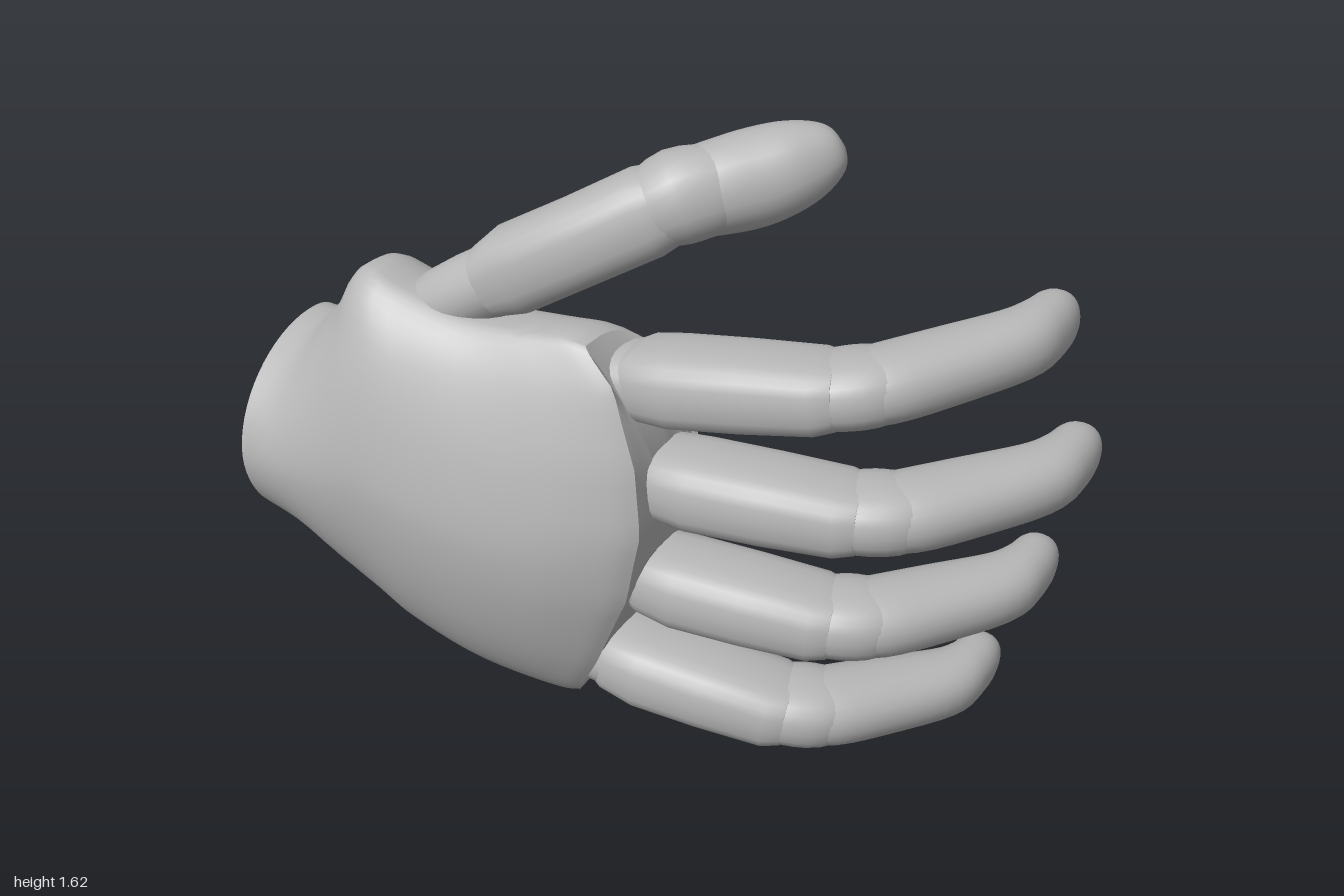
import * as THREE from 'three';
import { toCreasedNormals } from 'three/addons/utils/BufferGeometryUtils.js';

const grey = new THREE.MeshStandardMaterial({ color: 0xb8b8b8 });
grey.name = 'matte grey';

// Skin a list of rings (arrays of Vector3, all the same length)
function skin(rings, crease = 0.6) {
  const n = rings[0].length, index = [];
  for (let i = 0; i < rings.length - 1; i++) {
    for (let j = 0; j < n; j++) {
      const a = i * n + j, b = i * n + (j + 1) % n;
      index.push(a, b, a + n, b, b + n, a + n);
    }
  }
  const geo = new THREE.BufferGeometry().setFromPoints(rings.flat());
  geo.setIndex(index);
  return toCreasedNormals(geo, crease);
}

const signedPow = (v, p) => Math.sign(v) * Math.pow(Math.abs(v), p);

// Smooth interpolation between rows of numbers
function smoothRows(rows, sub) {
  const out = [];
  for (let i = 0; i < rows.length - 1; i++) {
    const [a, b, c, d] = [rows[Math.max(i - 1, 0)], rows[i], rows[i + 1], rows[Math.min(i + 2, rows.length - 1)]];
    for (let s = 0; s < sub; s++) {
      const t = s / sub;
      out.push(b.map((v, k) => v + 0.5 * t * (c[k] - a[k] +
        t * (2 * a[k] - 5 * v + 4 * c[k] - d[k] + t * (3 * (v - c[k]) + d[k] - a[k])))));
    }
  }
  out.push(rows[rows.length - 1]);
  return out;
}

// Limb segment: rows are [x, y, z, half width along ref, half thickness]
function limb(name, rows, ref, { power = 1, sub = 1, n = 24 } = {}) {
  const pts = sub > 1 ? smoothRows(rows, sub) : rows;
  const centre = pts.map(p => new THREE.Vector3(p[0], p[1], p[2]));
  const last = pts.length - 1;
  const rings = pts.map((p, i) => {
    const t = centre[Math.min(i + 1, last)].clone().sub(centre[Math.max(i - 1, 0)]).normalize();
    const u = ref.clone().addScaledVector(t, -ref.dot(t)).normalize();
    const v = t.clone().cross(u);
    return Array.from({ length: n }, (_, j) => {
      const a = (j / n) * Math.PI * 2;
      return centre[i].clone()
        .addScaledVector(u, Math.max(p[3], 0) * signedPow(Math.cos(a), power))
        .addScaledVector(v, Math.max(p[4], 0) * signedPow(Math.sin(a), power));
    });
  });
  rings.unshift(rings[0].map(() => centre[0].clone()));
  rings.push(rings[rings.length - 1].map(() => centre[last].clone()));
  const mesh = new THREE.Mesh(skin(rings), grey);
  mesh.name = name;
  return mesh;
}

// Finger lying along +x from its root, curling towards -z
function finger(name, root, tip, reach) {
  const g = new THREE.Group();
  const up = new THREE.Vector3(0, 1, 0);
  g.add(limb('rootKnuckle', [
    [-0.12, 0, 0.18, 0.07, 0.1], [0, 0, 0.18, 0.08, 0.115], [0.12, 0, 0.18, 0.082, 0.11]], up, { power: 0.8 }));
  g.add(limb('proximalSegment', [
    [0.06, 0, 0.175, 0.08, 0.105], [0.09, 0, 0.175, 0.092, 0.118], [0.18, 0, 0.175, 0.099, 0.127],
    [0.36, 0, 0.15, 0.097, 0.127], [0.54, 0, 0.122, 0.09, 0.124], [0.585, 0, 0.112, 0.08, 0.108]], up, { power: 0.68 }));
  g.add(limb('middleKnuckle', [
    [0.5, 0, 0.13, 0.07, 0.105], [0.57, 0, 0.105, 0.085, 0.12], [0.64, 0, 0.065, 0.087, 0.12],
    [0.69, 0, 0.015, 0.077, 0.1]], up, { power: 0.8, sub: 3 }));
  // last bend stays straight, then turns at the nail
  g.add(limb('fingertip', [
    [0.6, 0, 0.095, 0.08, 0.1], [0.67, 0, 0.045, 0.088, 0.117], [0.78, 0, -0.09, 0.087, 0.112],
    [0.895, 0, -0.245, 0.085, 0.096], [0.93, 0, -0.345, 0.083, 0.077], [0.938, 0, -0.43, 0.075, 0.066],
    [0.94, 0, -0.475, 0.055, 0.05], [0.94, 0, -0.497, 0.025, 0.025], [0.94, 0, -0.502, 0, 0]]
    .map(([x, y, z, a, b]) => [x, y, z < 0 ? z * reach : z, a, b]), up, { power: 0.9, sub: 4 }));
  const dx = tip[0] - root[0], dy = tip[1] - root[1];
  g.position.set(root[0], root[1], 0);
  g.rotation.z = Math.atan2(dy, dx);
  g.scale.x = Math.hypot(dx, dy);
  g.name = name;
  return g;
}

// Thumb, angled up and across the palm side
function thumb() {
  const g = new THREE.Group();
  const ref = new THREE.Vector3(-0.48, 0.85, 0.1);
  g.add(limb('thumbRoot', [
    [-0.66, 1.0, 0.215, 0.06, 0.08], [-0.5, 1.12, 0.225, 0.09, 0.095],
    [-0.3, 1.245, 0.205, 0.09, 0.095]], ref, { sub: 3 }));
  g.add(limb('thumbProximalSegment', [
    [-0.37, 1.21, 0.215, 0.09, 0.095], [-0.31, 1.245, 0.205, 0.108, 0.107], [-0.15, 1.335, 0.16, 0.106, 0.11],
    [0.0, 1.42, 0.105, 0.107, 0.112], [0.06, 1.45, 0.08, 0.092, 0.1]], ref, { power: 0.75 }));
  g.add(limb('thumbKnuckle', [
    [-0.01, 1.415, 0.105, 0.09, 0.105], [0.06, 1.455, 0.07, 0.112, 0.118],
    [0.13, 1.47, 0.015, 0.105, 0.11]], ref, { power: 0.85, sub: 3 }));
  g.add(limb('thumbTip', [
    [0.06, 1.455, 0.06, 0.1, 0.1], [0.13, 1.47, 0.01, 0.111, 0.115], [0.2, 1.487, -0.05, 0.116, 0.117],
    [0.27, 1.512, -0.105, 0.106, 0.108], [0.325, 1.533, -0.145, 0.083, 0.082], [0.36, 1.545, -0.17, 0.05, 0.05],
    [0.372, 1.55, -0.18, 0, 0]], ref, { power: 0.9, sub: 4 }));
  g.name = 'thumb';
  return g;
}

// Curved knuckle edge of the palm: x for each y
const EDGE = [[0.05, -0.15], [0.09, -0.12], [0.25, -0.03], [0.5, 0.08], [0.7, 0.12], [0.87, 0.1], [1.06, 0.03], [1.15, -0.07], [1.25, -0.09]];
function edgeX(y) {
  const i = Math.max(0, Math.min(EDGE.length - 2, EDGE.findIndex(e => e[0] > y) - 1));
  const [a, b] = [EDGE[i], EDGE[i + 1]];
  return THREE.MathUtils.lerp(a[1], b[1], (y - a[0]) / (b[0] - a[0]));
}

// Palm cross-section: arched on the back of the hand, flatter and slightly hollow on the palm side
function palmRing([t, top, bottom, zMin, zMax], n = 64) {
  const { lerp } = THREE.MathUtils;
  const yc = (top + bottom) / 2, h = (top - bottom) / 2;
  const k = Math.min(1, t * 2.5);
  return Array.from({ length: n }, (_, j) => {
    const a = (j / n) * Math.PI * 2, c = Math.cos(a), s = Math.sin(a);
    const palmPower = lerp(0.62, lerp(0.74, 0.56, t), (c + 1) / 2);
    const p = s < 0 ? lerp(0.75, palmPower, k) : lerp(1.05, 1.2, k);
    const v = signedPow(c, p), w = signedPow(s, p);
    const zm = lerp(0.155, lerp(0.26, 0.3, (v + 1) / 2), k);
    const hollow = s < 0 ? 0.02 * (1 - v * v) * Math.sin(Math.PI * t) : 0;
    const y = yc + h * v;
    const z = zm + (s < 0 ? zm - zMin : zMax - zm) * w + hollow;
    return new THREE.Vector3(-1 + t * (1 + edgeX(y)), y, z);
  });
}

function palm() {
  const g = new THREE.Group();
  const rings = smoothRows([
    [0, 0.95, 0.38, -0.02, 0.475], [0.09, 0.97, 0.345, -0.01, 0.48], [0.2, 1.08, 0.265, 0.01, 0.49],
    [0.33, 1.2, 0.2, 0.015, 0.5], [0.48, 1.17, 0.145, 0.015, 0.502], [0.65, 1.135, 0.1, 0.015, 0.488],
    [0.82, 1.14, 0.08, 0.02, 0.455], [0.95, 1.15, 0.075, 0.03, 0.405], [1, 1.14, 0.085, 0.04, 0.37]], 4)
    .map(r => palmRing(r));
  const wrist = rings[0];
  // End face between the fingers, following the knuckle edge
  const rim = rings[rings.length - 1];
  const mid = new THREE.Vector3(0, 0.62, 0.2);
  for (const s of [0.06, 0.25, 0.5, 0.75, 1])
    rings.push(rim.map(p => {
      const q = p.clone().lerp(mid, s);
      return q.setX(edgeX(q.y) - 0.012);
    }));
  const body = new THREE.Mesh(skin(rings, 0.7), grey);
  body.name = 'palmShell';
  g.add(body);

  // Flat wrist plate with four screw holes
  const shape = new THREE.Shape(wrist.map(p => new THREE.Vector2(-p.z, p.y)));
  for (const sy of [-1, 1]) for (const sz of [-1, 1]) {
    const hole = new THREE.Path();
    hole.absarc(-0.225 + sz * 0.065, 0.68 + sy * 0.065, 0.013, 0, Math.PI * 2, true);
    shape.holes.push(hole);
  }
  const plate = new THREE.Mesh(new THREE.ExtrudeGeometry(shape, { depth: 0.02, bevelEnabled: false, curveSegments: 8 }), grey);
  plate.rotation.y = Math.PI / 2;
  plate.position.x = -1;
  plate.name = 'wristPlate';
  const back = new THREE.Mesh(new THREE.BoxGeometry(0.01, 0.2, 0.2), grey);
  back.position.set(-0.975, 0.68, 0.225);
  back.name = 'screwHoleFloor';
  g.add(plate, back);
  g.name = 'palm';
  return g;
}

export function createModel() {
  const hand = new THREE.Group();
  hand.name = 'hand';
  hand.add(palm(), thumb());
  hand.add(finger('indexFinger', [-0.05, 1.015], [0.905, 1.12], 0.96));
  hand.add(finger('middleFinger', [0, 0.765], [0.995, 0.755], 1));
  hand.add(finger('ringFinger', [-0.03, 0.475], [0.925, 0.41], 0.95));
  hand.add(finger('littleFinger', [-0.13, 0.2], [0.805, 0.068], 0.89));
  return hand;
}
